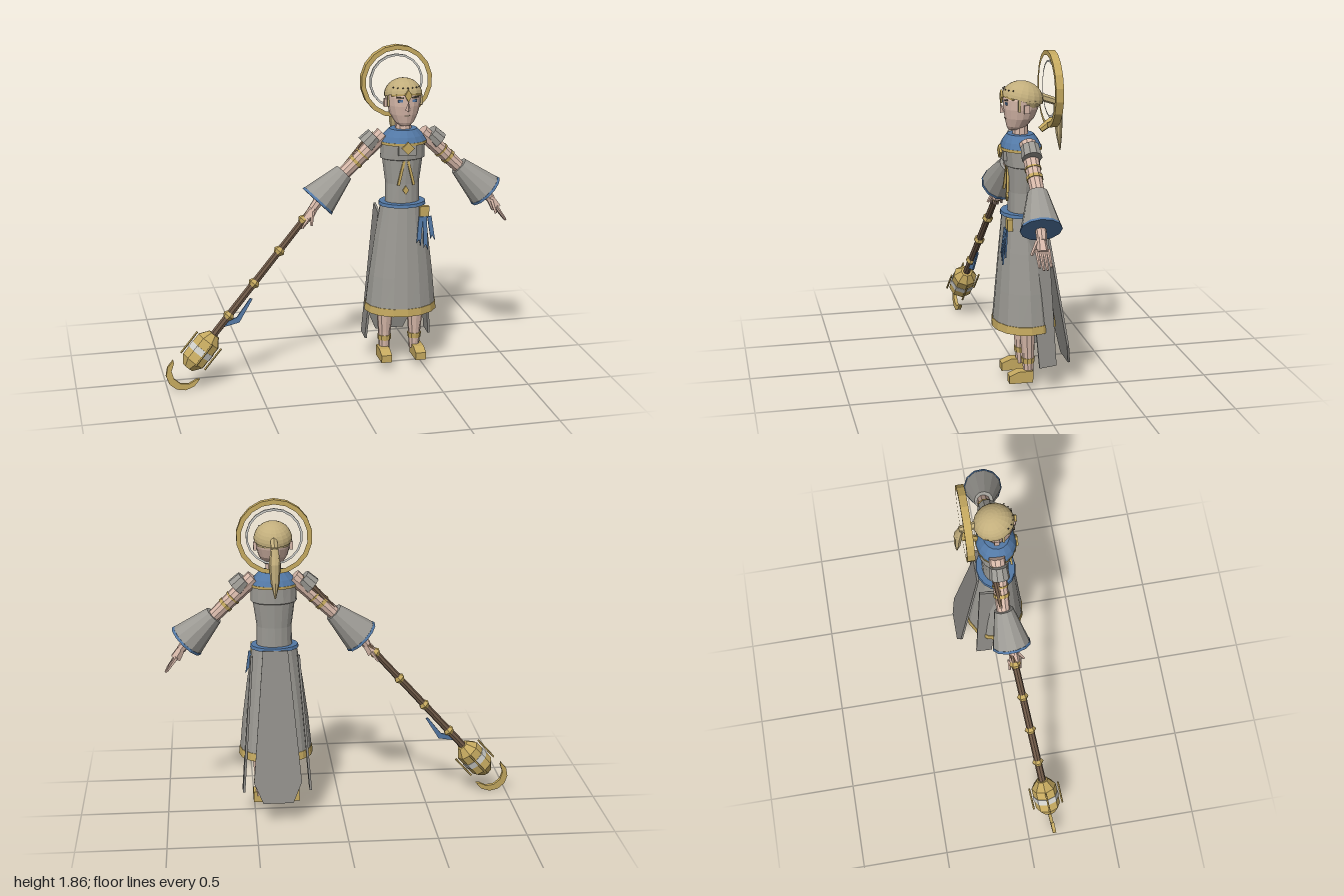
import * as THREE from 'three';

const mat = (name, color) => Object.assign(new THREE.MeshStandardMaterial({ color }), { name });
const robe = mat('robe grey', 0x9c9a94), gold = mat('gold', 0xc6aa60), hairTone = mat('blond hair', 0xc2ae7c),
  blue = mat('blue cloth', 0x5379a6), skin = mat('skin', 0xd8b9aa), wood = mat('brown wood', 0x705a48),
  silver = mat('silver', 0xcfcfca), dark = mat('dark line', 0x5c5344), cloak = mat('panel grey', 0x8f8d88);
const V = (x, y, z) => new THREE.Vector3(x, y, z);

function flat(geo) {
  const g = geo.index ? geo.toNonIndexed() : geo;
  g.computeVertexNormals();
  return g;
}
function add(parent, name, geo, material, x = 0, y = 0, z = 0) {
  const m = new THREE.Mesh(flat(geo), material);
  m.name = name;
  m.position.set(x, y, z);
  parent.add(m);
  return m;
}
// Closed loft through elliptical rings [y, rx, rz, cz], listed bottom to top
function loft(rings, sides = 16) {
  const pos = [], idx = [], n = sides;
  rings.forEach(([y, rx, rz, cz]) => {
    for (let i = 0; i < n; i++) {
      const a = (i / n) * Math.PI * 2;
      pos.push(Math.sin(a) * rx, y, cz + Math.cos(a) * rz);
    }
  });
  for (let r = 0; r < rings.length - 1; r++) for (let i = 0; i < n; i++) {
    const a = r * n + i, b = r * n + (i + 1) % n;
    idx.push(a, b, b + n, a, b + n, a + n);
  }
  const t = (rings.length - 1) * n;
  for (let i = 1; i < n - 1; i++) idx.push(0, i + 1, i, t, t + i, t + i + 1);
  const g = new THREE.BufferGeometry();
  g.setAttribute('position', new THREE.Float32BufferAttribute(pos, 3));
  g.setIndex(idx);
  return g;
}
// Tapered rod from a to b
function rod(parent, name, a, b, ra, rb, material, sides = 8) {
  const d = b.clone().sub(a);
  const m = add(parent, name, new THREE.CylinderGeometry(rb, ra, d.length(), sides), material);
  m.position.copy(a).addScaledVector(d, 0.5);
  m.quaternion.setFromUnitVectors(V(0, 1, 0), d.normalize());
  return m;
}
function plate(pts, depth, hole) {
  const s = new THREE.Shape(pts.map(p => new THREE.Vector2(p[0], p[1])));
  if (hole) s.holes.push(new THREE.Path(hole.map(p => new THREE.Vector2(p[0], p[1]))));
  return new THREE.ExtrudeGeometry(s, { depth, bevelEnabled: false }).translate(0, 0, -depth / 2);
}
const diamond = (w, h) => [[0, -h], [w, 0], [0, h], [-w, 0]];
const circle = (r, n) => Array.from({ length: n }, (_, i) =>
  [Math.sin(i / n * Math.PI * 2) * r, Math.cos(i / n * Math.PI * 2) * r]);

function buildHead(body) {
  const head = new THREE.Group();
  head.name = 'head';
  body.add(head);
  add(head, 'neck', loft([[1.38, .048, .045, .035], [1.49, .042, .04, .035]], 10), skin);
  add(head, 'face', loft([[1.435, .03, .03, .07], [1.455, .055, .055, .055], [1.5, .08, .08, .04],
    [1.55, .094, .094, .033], [1.6, .1, .1, .028], [1.65, .08, .085, .025]]), skin);
  const hair = add(head, 'hairCap', new THREE.SphereGeometry(1, 18, 8, 0, Math.PI * 2, 0, Math.PI / 2), hairTone, 0, 1.597, .024);
  hair.scale.set(.107, .097, .113);
  hair.rotation.x = -.24;
  add(head, 'hairUnderside', loft([[1.562, .09, .09, .012], [1.6, .105, .103, .012]]), hairTone).scale.z = .9;
  const nose = add(head, 'nose', new THREE.ConeGeometry(.016, .055, 4), skin, 0, 1.557, .137);
  nose.rotation.x = .3;
  add(head, 'mouth', new THREE.BoxGeometry(.03, .005, .006), dark, 0, 1.498, .117);
  add(head, 'browJewel', plate(diamond(.02, .035), .012), gold, 0, 1.615, .138);
  for (const s of [-1, 1]) {
    add(head, 'eye', new THREE.BoxGeometry(.026, .014, .008), blue, s * .04, 1.582, .119);
    add(head, 'eyebrow', new THREE.BoxGeometry(.04, .007, .012), dark, s * .043, 1.602, .122).rotation.z = s * .15;
    add(head, 'ear', new THREE.BoxGeometry(.018, .045, .028), skin, s * .1, 1.558, .022);
    add(head, 'sideLock', new THREE.BoxGeometry(.012, .06, .014), hairTone, s * .094, 1.575, .06);
    const band = rod(head, 'circlet', V(0, 1.625, .138), V(s * .085, 1.61, .09), .007, .007, gold, 4);
    band.scale.z = .8;
  }
  for (let i = -3; i <= 3; i++) {
    const a = i * .3;
    add(head, 'circletBead', new THREE.OctahedronGeometry(.005), dark, Math.sin(a) * .094, 1.655, .03 + Math.cos(a) * .096);
  }
  // Halo rings and ponytail behind the head
  add(head, 'outerHalo', plate(circle(.207, 18), .042, circle(.181, 18)), gold, 0, 1.645, -.13);
  add(head, 'innerHalo', plate(circle(.155, 18), .014, circle(.143, 18)), silver, 0, 1.645, -.13);
  rod(head, 'haloBracket', V(0, 1.425, -.075), V(0, 1.475, -.145), .018, .024, gold, 6);
  add(head, 'ponytail', loft([[1.31, .004, .004, -.184], [1.4, .025, .018, -.178], [1.5, .032, .024, -.172],
    [1.59, .02, .008, -.153]], 8), hairTone);
  rod(head, 'ponytailRoot', V(0, 1.61, -.06), V(0, 1.575, -.16), .022, .02, hairTone, 6);
}

function buildRobe(body) {
  add(body, 'torso', loft([[.97, .1, .075, .028], [1.1, .098, .077, .026], [1.24, .117, .088, .024],
    [1.245, .129, .096, .026], [1.34, .126, .102, .03]]), robe);
  add(body, 'collarTrim', loft([[1.33, .137, .113, .033], [1.345, .137, .114, .033]]), gold);
  add(body, 'collar', loft([[1.345, .135, .111, .033], [1.375, .115, .098, .034], [1.412, .078, .072, .035]]), blue);
  add(body, 'chestBlock', new THREE.BoxGeometry(.1, .06, .03), robe, 0, 1.305, .122);
  add(body, 'chestJewel', plate(diamond(.036, .036), .014), gold, 0, 1.32, .147);
  add(body, 'smallJewel', plate(diamond(.018, .026), .01), gold, 0, 1.068, .108);
  add(body, 'belt', loft([[.972, .137, .115, .03], [.99, .133, .111, .03]]), blue);
  const skirtRing = (y, grow = 0) => {
    const t = (.98 - y) / .64;
    return [y, .125 + .084 * t + .008 * Math.sin(t * Math.PI) + grow, .105 + .07 * t + grow, .03 - .015 * t];
  };
  add(body, 'skirt', loft([.345, .56, .78, .98].map(y => skirtRing(y))), robe);
  add(body, 'skirtHem', loft([.34, .384].map(y => skirtRing(y, .003))), gold);

  // Long back panel and two side panels
  const back = add(body, 'backPanel', plate([[-.07, 0], [-.135, -.75], [-.085, -.87], [.085, -.87], [.135, -.75], [.07, 0]], .012),
    cloak, 0, .98, -.083);
  back.rotation.x = .163;
  for (const s of [-1, 1]) {
    const side = add(body, 'sidePanel', plate([[-.03, 0], [.03, -.78], [.125, -.77], [.085, .03]], .013).rotateY(Math.PI / 2),
      cloak, s * .133, .92, 0);
    side.rotation.z = s * .075;
    const strip = add(body, 'chestRibbon', new THREE.BoxGeometry(.014, .14, .012), gold, s * .028, 1.168, .111);
    strip.rotation.set(-.06, 0, s * .24);
  }
  // Belt clasp with hanging ribbons
  add(body, 'beltClasp', new THREE.BoxGeometry(.055, .065, .03), gold, .105, .94, .118);
  for (const [x, len, tilt] of [[.083, .15, -.1], [.105, .18, .02], [.132, .13, .14]]) {
    add(body, 'beltRibbon', plate([[-.012, 0], [-.012, -len], [0, -len + .02], [.012, -len - .015], [.012, 0]], .008),
      blue, x, .915, .137).rotation.set(-.1, 0, tilt);
  }
}

function buildArm(body, s) {
  const arm = new THREE.Group();
  arm.name = s > 0 ? 'leftArm' : 'rightArm';
  body.add(arm);
  const P = (x, y, z) => V(s * x, y, z);
  rod(arm, 'upperArm', P(.11, 1.38, .02), P(.36, 1.14, .018), .045, .037, skin, 10);
  rod(arm, 'shoulderCap', P(.16, 1.372, .02), P(.212, 1.322, .02), .05, .056, robe, 10);
  rod(arm, 'armBand', P(.262, 1.234, .019), P(.276, 1.221, .019), .045, .045, gold, 10);
  rod(arm, 'armBand', P(.225, 1.27, .019), P(.232, 1.263, .019), .046, .046, gold, 10);
  rod(arm, 'sleeve', P(.335, 1.168, .02), P(.487, 1.02, .037), .054, .106, robe, 12);
  rod(arm, 'sleeveCuff', P(.484, 1.023, .037), P(.494, 1.013, .038), .107, .11, blue, 12);
  rod(arm, 'wrist', P(.48, 1.025, .038), P(.525, .965, .042), .03, .026, skin);
  // Hand with four fingers and a thumb, curled round the staff on the right
  const reach = s > 0 ? 1 : .65;
  rod(arm, 'palm', P(.515, .98, .045), P(.555, .915, .046), .024, .032, skin, 6);
  for (let i = 0; i < 4; i++) {
    const z = .015 + i * .02, l = (i === 0 || i === 3 ? .078 : .09) * reach;
    rod(arm, 'finger', P(.55, .925, z), P(.55 + l * .72, .925 - l, z - .003), .011, .007, skin, 5);
  }
  rod(arm, 'thumb', P(.525, .965, .065), P(.54, .895, .1), .012, .008, skin, 5);
}

function buildLeg(body, s) {
  const leg = new THREE.Group();
  leg.name = s > 0 ? 'leftLeg' : 'rightLeg';
  leg.position.x = s * .09;
  body.add(leg);
  add(leg, 'shin', loft([[.08, .03, .028, .008], [.2, .037, .035, .01], [.45, .06, .052, .02]], 10), skin);
  add(leg, 'anklet', loft([[.145, .038, .036, .01], [.175, .041, .039, .01]], 10), gold);
  const foot = [[-.01, .04], [.122, .04], [.122, .083], [.07, .105], [-.01, .105]];
  add(leg, 'shoe', plate(foot, .062).rotateY(-Math.PI / 2), gold, s * .012, 0, 0);
}

function buildStaff(root) {
  const staff = new THREE.Group();
  staff.name = 'staff';
  const base = V(-.807, .214, .13), tip = V(.21, 1.385, -.012);
  const up = tip.clone().sub(base), len = up.length();
  up.normalize();
  const x = up.clone().cross(V(0, 0, 1)).normalize(), z = x.clone().cross(up);
  staff.quaternion.setFromRotationMatrix(new THREE.Matrix4().makeBasis(x, up, z));
  staff.position.copy(base);
  root.add(staff);
  rod(staff, 'shaft', V(0, .08, 0), V(0, len - .06, 0), .022, .018, wood, 8);
  add(staff, 'endSpike', new THREE.ConeGeometry(.026, .08, 6), gold, 0, len - .035, 0);
  for (const y of [.25, .48, .71, .93]) add(staff, 'shaftKnot', loft([[-.02, .022, .022, 0], [0, .034, .034, 0], [.02, .022, .022, 0]], 6), gold, 0, y, 0);
  // Lantern head with a pale band and four guard rods
  add(staff, 'lantern', loft([[-.118, .035, .035, 0], [-.07, .073, .073, 0], [.07, .073, .073, 0], [.118, .035, .035, 0]], 8), gold);
  add(staff, 'lanternBand', loft([[-.018, .076, .076, 0], [.018, .076, .076, 0]], 8), silver);
  for (let i = 0; i < 4; i++) {
    const a = i * Math.PI / 2, rx = Math.cos(a) * .087, rz = Math.sin(a) * .087;
    rod(staff, 'guardRod', V(rx, -.075, rz), V(rx, .075, rz), .006, .006, gold, 5);
  }
  // Crescent finial opening toward the lantern
  const arc = (r, cy, n, from, to) => Array.from({ length: n }, (_, i) => {
    const a = from + (to - from) * i / (n - 1);
    return [Math.cos(a) * r, cy + Math.sin(a) * r];
  });
  add(staff, 'crescent', plate([...arc(.1, -.158, 8, -3.4, .26), ...arc(.083, -.136, 6, -.1, -3.04)], .02), gold);
  // Trailing ribbon
  add(staff, 'staffRibbon', plate([[.0, .16], [.075, .255], [.05, .405], [.037, .4], [.045, .27], [.0, .2]], .01), blue);
}

export function createModel() {
  const root = new THREE.Group();
  root.name = 'robedStaffBearer';
  const body = new THREE.Group();
  body.name = 'figure';
  body.position.x = .374;
  root.add(body);
  buildHead(body);
  buildRobe(body);
  for (const s of [-1, 1]) {
    buildArm(body, s);
    buildLeg(body, s);
  }
  buildStaff(root);
  return root;
}
